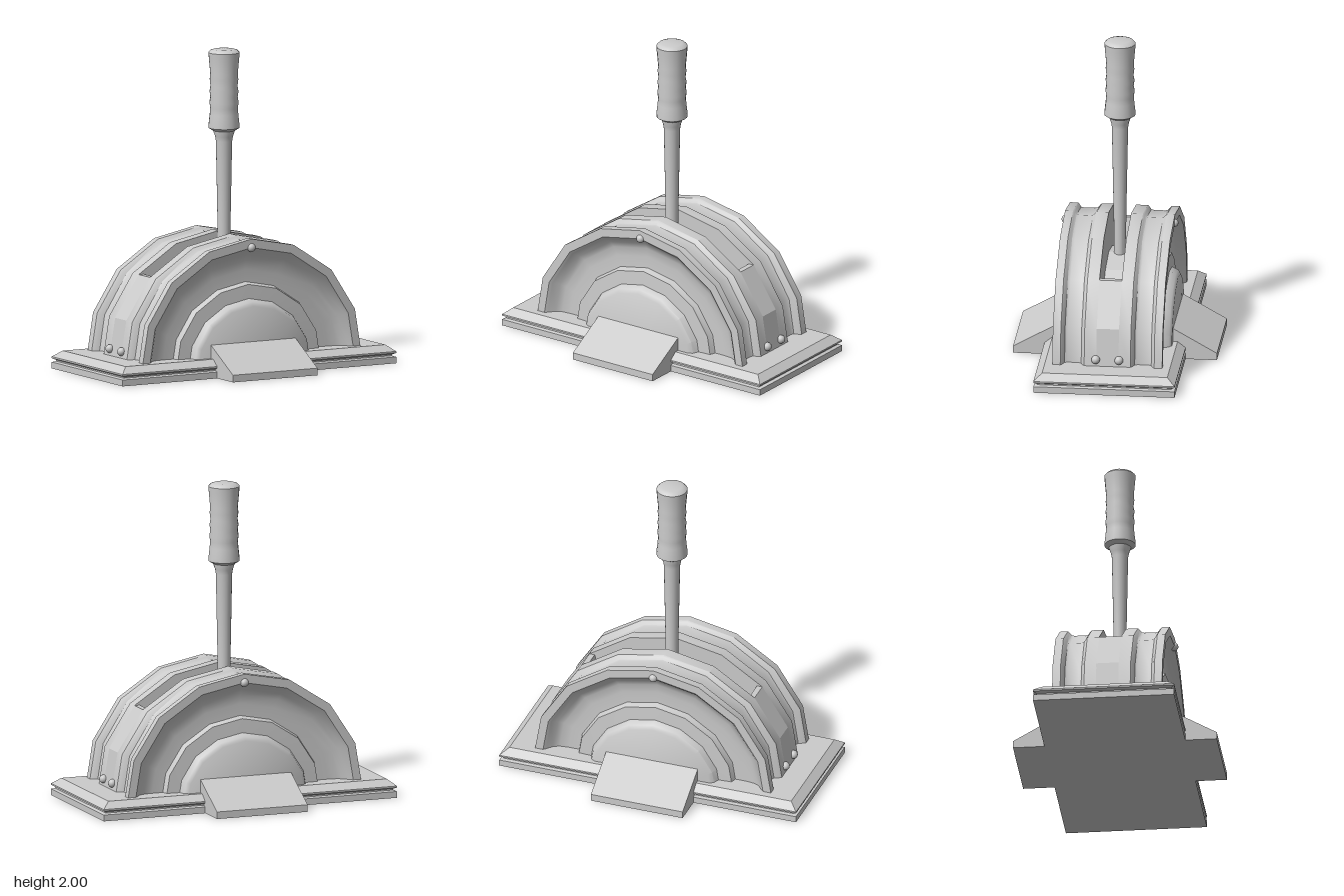
import * as THREE from 'three';
import { toCreasedNormals } from 'three/addons/utils/BufferGeometryUtils.js';

const material = new THREE.MeshStandardMaterial({ color: 0xcccccc });

function add(parent, name, geometry) {
  const mesh = new THREE.Mesh(geometry, material);
  mesh.name = name;
  parent.add(mesh);
  return mesh;
}

// Skin a grid of points: rows[i][j] = [x, y, z]
function loft(rows, crease) {
  const n = rows[0].length, index = [];
  for (let i = 0; i < rows.length - 1; i++) {
    for (let j = 0; j < n - 1; j++) {
      const a = i * n + j, d = a + n;
      index.push(a, a + 1, d + 1, a, d + 1, d);
    }
  }
  const geometry = new THREE.BufferGeometry();
  geometry.setAttribute('position', new THREE.Float32BufferAttribute(rows.flat(2), 3));
  geometry.setIndex(index);
  return toCreasedNormals(geometry, crease);
}

// Extrude an outline of [x, y] pairs, centred on z
function slab(points, depth) {
  const shape = new THREE.Shape(points.map(([x, y]) => new THREE.Vector2(x, y)));
  const geometry = new THREE.ExtrudeGeometry(shape, { depth, bevelEnabled: false });
  return geometry.translate(0, 0, -depth / 2);
}

export function createModel() {
  const model = new THREE.Group();
  model.name = 'throttleLever';

  // Base plate with a groove round its edge and a bevelled top: [inset, y]
  const baseProfile = [[2, 0], [0, 0], [0, 0.04], [0.02, 0.047], [0.02, 0.055],
    [0, 0.065], [0, 0.075], [0.05, 0.115], [2, 0.115]];
  const corners = [[1, 1], [1, -1], [-1, -1], [-1, 1], [1, 1]];
  add(model, 'basePlate', loft(baseProfile.map(([inset, y]) => corners.map(([sx, sz]) =>
    [sx * Math.max(0, 0.987 - inset), y, sz * Math.max(0, 0.443 - inset)])), 0.5));

  // Faceted arch outline, from +x over the top to -x
  const side = [[0.785, 0.11], [0.745, 0.35], [0.575, 0.61], [0.305, 0.785]];
  const arch = [...side, [0, 0.845], ...side.slice().reverse().map(([x, y]) => [-x, y])];

  // Half housing, slot wall to side dish: [z, x scale, y scale]
  const housingProfile = [
    [0.07, 0.68, 0.68], [0.07, 1, 1], [0.145, 1, 1], [0.155, 0.985, 0.99],
    [0.168, 0.945, 0.973], [0.185, 0.935, 0.97], [0.255, 0.935, 0.97], [0.272, 0.945, 0.973],
    [0.285, 0.985, 0.99], [0.295, 1, 1], [0.345, 1, 1],
    [0.345, 0.935, 0.935], [0.33, 0.915, 0.915], [0.29, 0.875, 0.875], [0.272, 0.83, 0.83],
    [0.265, 0.76, 0.76], [0.265, 0.67, 0.67], [0.305, 0.655, 0.655], [0.31, 0.55, 0.55],
    [0.35, 0.53, 0.53], [0.365, 0.5, 0.5], [0.365, 0, 0]];
  const housing = loft(housingProfile.map(([z, sx, sy]) =>
    arch.map(([x, y]) => [x * sx, y * sy, z])), 0.7);

  // Access wedge outline in z and y
  const wedge = slab([[0.34, 0], [0.64, 0], [0.64, 0.045], [0.365, 0.2], [0.34, 0.2]], 0.61)
    .rotateY(-Math.PI / 2);

  for (const [label, turn] of [['front', 0], ['back', Math.PI]]) {
    add(model, label + 'Housing', housing).rotation.y = turn;
    add(model, label + 'Wedge', wedge).rotation.y = turn;
  }

  // Slot floor and the solid ends that close the slot
  add(model, 'slotFloor', slab(arch.map(([x, y]) => [x * 0.69, y * 0.69]), 0.15));
  const end = [[0.5, 0.1], [0.785, 0.11], [0.745, 0.35], [0.575, 0.61], [0.54, 0.61], [0.51, 0.5]];
  const endCap = slab(end, 0.142);
  add(model, 'leftSlotEnd', endCap);
  add(model, 'rightSlotEnd', endCap).rotation.y = Math.PI;

  // Round-headed bolts
  const bolt = new THREE.SphereGeometry(0.027, 14, 10);
  for (const s of [-1, 1]) {
    add(model, 'rimBolt', bolt).position.set(0, 0.79, s * 0.34);
    for (const z of [-0.073, 0.073]) add(model, 'endBolt', bolt).position.set(s * 0.782, 0.157, z);
  }

  // Lever: tapered shaft, then a grip with finger ripples
  const lathe = (points) => toCreasedNormals(new THREE.LatheGeometry(
    points.map(([r, y]) => new THREE.Vector2(r, y)), 20), 0.7);
  add(model, 'leverShaft', lathe([[0, 0.5], [0.036, 0.5], [0.04, 0.85], [0.051, 1.42],
    [0.056, 1.45], [0.07, 1.49], [0.07, 1.51]]));
  add(model, 'leverGrip', lathe([[0, 1.485], [0.066, 1.485], [0.098, 1.505], [0.098, 1.52],
    [0.09, 1.59], [0.087, 1.63], [0.092, 1.665], [0.086, 1.7], [0.091, 1.735], [0.085, 1.77],
    [0.09, 1.81], [0.087, 1.85], [0.096, 1.95], [0.098, 1.98], [0.085, 1.994], [0.065, 2], [0, 2]]));

  return model;
}
